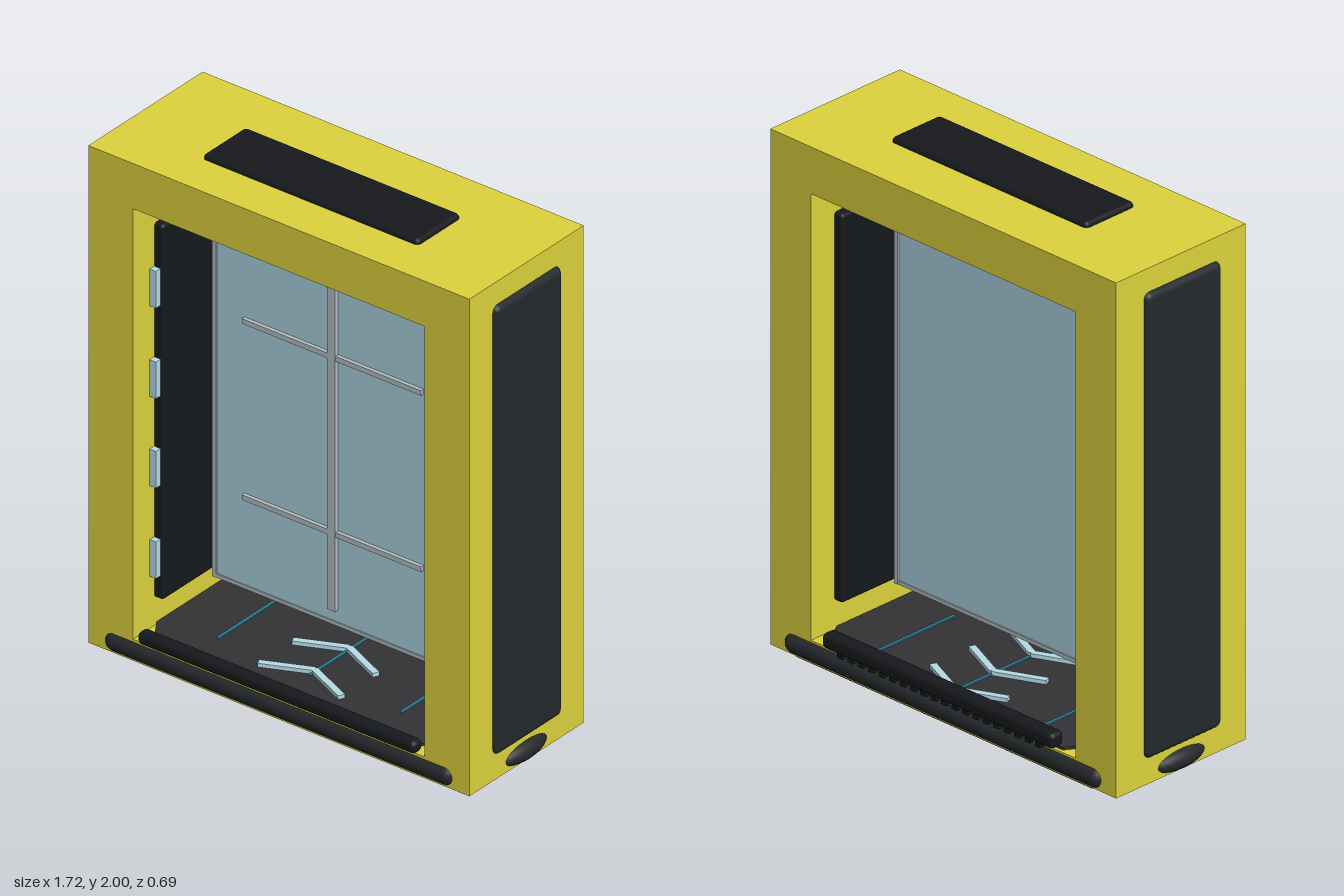
import * as THREE from 'three';
import { RoundedBoxGeometry } from 'three/addons/geometries/RoundedBoxGeometry.js';

const mat = (color) => new THREE.MeshStandardMaterial({ color });
const M = {
  yellow: mat(0xdcd23c), dark: mat(0x16191c), pad: mat(0x25292c), floor: mat(0x333336),
  glass: mat(0xa8d0de), rim: mat(0xb4bec2), light: mat(0xb5dbe6), teal: mat(0x2f7f95),
};

export function createModel() {
  const root = new THREE.Group();

  const add = (name, geometry, material, x = 0, y = 0, z = 0) => {
    const mesh = new THREE.Mesh(geometry, material);
    mesh.name = name;
    mesh.position.set(x, y, z);
    root.add(mesh);
    return mesh;
  };
  // Box given by its lower and upper limits, rounded when r > 0
  const box = (name, material, [x0, x1], [y0, y1], [z0, z1], r = 0) => {
    const s = [x1 - x0, y1 - y0, z1 - z0];
    const g = r ? new RoundedBoxGeometry(...s, 3, r) : new THREE.BoxGeometry(...s);
    return add(name, g, material, (x0 + x1) / 2, (y0 + y1) / 2, (z0 + z1) / 2);
  };
  // Horizontal plate with chamfered corners
  const plate = (name, material, w, d, cx, cz, y0, y1) => {
    const pts = [[w - cx, -d], [w, cz - d], [w, d - cz], [w - cx, d],
      [cx - w, d], [-w, d - cz], [-w, cz - d], [cx - w, -d]];
    const shape = new THREE.Shape(pts.map(([x, y]) => new THREE.Vector2(x, y)));
    const g = new THREE.ExtrudeGeometry(shape, { depth: y1 - y0, bevelEnabled: false });
    g.rotateX(-Math.PI / 2);
    return add(name, g, material, 0, y0, 0);
  };

  // Door frame: one slab with a rectangular opening
  const outline = new THREE.Shape([[-0.83, 0.005], [0.83, 0.005], [0.83, 1.98], [-0.83, 1.98]]
    .map((p) => new THREE.Vector2(...p)));
  outline.holes.push(new THREE.Path([[-0.635, 0.09], [-0.635, 1.8], [0.635, 1.8], [0.635, 0.09]]
    .map((p) => new THREE.Vector2(...p))));
  add('frame', new THREE.ExtrudeGeometry(outline, { depth: 0.63, bevelEnabled: false }),
    M.yellow, 0, 0, -0.313);

  // Base and floor
  plate('basePlate', M.dark, 0.82, 0.31, 0.11, 0.2, 0, 0.03);
  plate('floorPlate', M.floor, 0.66, 0.3, 0.1, 0.15, 0.08, 0.1);

  // Top pad
  box('topPad', M.dark, [-0.47, 0.47], [1.96, 2], [-0.093, 0.145], 0.018);

  for (const s of [-1, 1]) {
    const span = (a, b) => (s > 0 ? [a, b] : [-b, -a]);
    // Side pads, foot bumps and inner pads
    box('sidePad', M.pad, span(0.79, 0.85), [0.105, 1.89], [-0.18, 0.19], 0.028);
    add('sideBump', new THREE.SphereGeometry(1, 24, 16), M.pad, s * 0.81, 0.045, 0.004)
      .scale.set(0.05, 0.042, 0.124);
    box('innerPad', M.dark, span(0.597, 0.645), [0.2, 1.69], [-0.2, 0.2], 0.015);
    // Indicator lights on the front edge of the inner pads
    for (const y of [0.37, 0.73, 1.085, 1.445])
      box('indicatorLight', M.light, span(0.608, 0.636), [y - 0.073, y + 0.073], [0.19, 0.225]);
    // Lower rails, front and back
    add('lowerRail', new THREE.CapsuleGeometry(0.039, 1.442, 8, 20).rotateZ(Math.PI / 2),
      M.pad, 0, 0.046, s * 0.298);
  }

  // Threshold bars
  box('frontBar', M.dark, [-0.605, 0.605], [0.09, 0.14], [0.285, 0.338], 0.02);
  box('backBar', M.dark, [-0.555, 0.555], [0.1, 0.16], [-0.347, -0.285], 0.02);
  for (let i = 0; i < 20; i++) {
    const x = -0.475 + i * 0.05;
    box('backBarTooth', M.dark, [x - 0.012, x + 0.012], [0.085, 0.11], [-0.337, -0.3]);
  }

  // Glass pane with a thin rim and front cross bars
  box('pane', M.glass, [-0.51, 0.51], [0.255, 1.67], [-0.013, 0.013]);
  for (const s of [-1, 1]) {
    box('paneSideRim', M.rim, [s * 0.517 - 0.008, s * 0.517 + 0.008], [0.243, 1.683], [-0.02, 0.02]);
    const y = s > 0 ? 1.676 : 0.25;
    box('paneEndRim', M.rim, [-0.515, 0.515], [y - 0.007, y + 0.007], [-0.018, 0.018]);
  }
  box('verticalBar', M.rim, [-0.018, 0.018], [0.305, 1.61], [0.01, 0.03]);
  for (const y of [0.61, 1.31])
    box('horizontalBar', M.rim, [-0.39, 0.39], [y - 0.01, y + 0.01], [0.01, 0.028]);

  // Floor markings: guide lines and chevrons
  for (const x of [-0.4, 0, 0.4])
    box('guideLine', M.teal, [x - 0.006, x + 0.006], [0.095, 0.105], [-0.24, 0.15]);
  for (const z of [0.12, -0.07, -0.26]) {
    for (const s of [-1, 1]) {
      const arm = box('chevronArm', M.light, [-0.1, 0.1], [0.095, 0.115], [-0.013, 0.013]);
      arm.position.x = s * 0.09;
      arm.position.z = z + 0.04;
      arm.rotation.y = -s * 0.42;
    }
  }

  return root;
}
